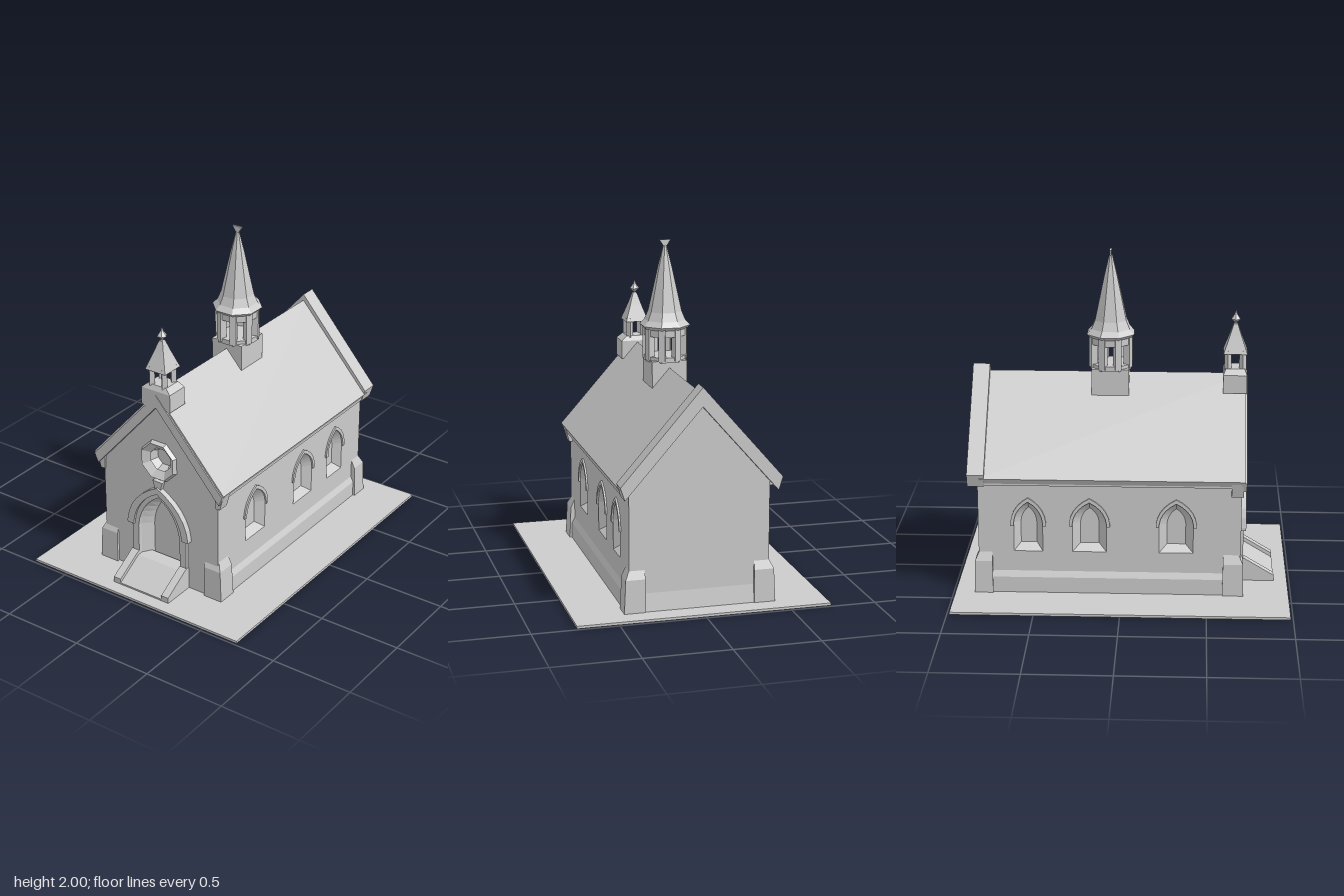
import * as THREE from 'three';

const mat = new THREE.MeshStandardMaterial({ color: 0xcccccc, flatShading: true, side: THREE.DoubleSide });
const V = (x, y) => new THREE.Vector2(x, y);

function add(parent, name, geo, x = 0, y = 0, z = 0) {
  const m = new THREE.Mesh(geo, mat);
  m.name = name;
  m.position.set(x, y, z);
  parent.add(m);
  return m;
}

// box given by its ranges
function block(parent, name, x0, x1, y0, y1, z0, z1) {
  return add(parent, name, new THREE.BoxGeometry(x1 - x0, y1 - y0, z1 - z0),
    (x0 + x1) / 2, (y0 + y1) / 2, (z0 + z1) / 2);
}

// box whose top is scaled and shifted
function taperBox(w, h, d, sx, sz, dx = 0, dz = 0) {
  const g = new THREE.BoxGeometry(w, h, d).translate(0, h / 2, 0);
  const p = g.attributes.position;
  for (let i = 0; i < p.count; i++) {
    if (p.getY(i) > h / 2) p.setXYZ(i, p.getX(i) * sx + dx, h, p.getZ(i) * sz + dz);
  }
  return g;
}

// outline of a pointed arch, from lower right round to lower left
function arch(cx, w, bottom, spring, apex, n = 5) {
  const pts = [V(cx + w, bottom)];
  const c = new THREE.QuadraticBezierCurve(V(w, spring), V(w * 0.9, spring + (apex - spring) * 0.65), V(0, apex));
  const half = c.getPoints(n);
  half.forEach(p => pts.push(V(cx + p.x, p.y)));
  half.slice(0, -1).reverse().forEach(p => pts.push(V(cx - p.x, p.y)));
  pts.push(V(cx - w, bottom));
  return pts;
}

const ring = (cx, cy, r, n = 8) => Array.from({ length: n }, (_, i) => {
  const a = (i + 0.5) / n * Math.PI * 2;
  return V(cx + r * Math.cos(a), cy + r * Math.sin(a));
});

function slab(pts, depth, holes = []) {
  const s = new THREE.Shape(pts);
  holes.forEach(h => s.holes.push(new THREE.Path(h)));
  return new THREE.ExtrudeGeometry(s, { depth, bevelEnabled: false });
}

// sloping reveal from outline a (depth za) to outline b (depth zb)
function splay(a, b, za, zb) {
  const out = [];
  a.forEach((p, i) => {
    const j = (i + 1) % a.length, q = a[j], r = b[i], s = b[j];
    out.push(p.x, p.y, za, q.x, q.y, za, s.x, s.y, zb, p.x, p.y, za, s.x, s.y, zb, r.x, r.y, zb);
  });
  const g = new THREE.BufferGeometry();
  g.setAttribute('position', new THREE.Float32BufferAttribute(out, 3));
  g.computeVertexNormals();
  return g;
}

// inverted V cross-section of a roof
const chevron = (w, eave, ridge, t) => [V(0, ridge), V(-w, eave), V(-w + 0.025, eave - t * 0.7),
  V(0, ridge - t), V(w - 0.025, eave - t * 0.7), V(w, eave)];
const gable = w => [V(-w, 0), V(w, 0), V(w, 0.74), V(0, 1.21), V(-w, 0.74)];

// one long wall with windows, on the +x side
function sideWall() {
  const g = new THREE.Group();
  g.name = 'sideWall';
  const face = new THREE.Group();
  face.name = 'windowWall';
  face.rotation.y = Math.PI / 2;
  face.position.x = 0.36;
  g.add(face);
  const wins = [[-0.32, 0.1], [0.19, 0.1], [0.55, 0.085]];
  const outer = wins.map(([c, w]) => arch(c, w, 0.27, 0.45, 0.58));
  add(face, 'wall', slab([V(-0.69, 0), V(0.84, 0), V(0.84, 0.75), V(-0.69, 0.75)], 0.05, outer));
  wins.forEach(([c, w], i) => {
    add(face, 'windowReveal', splay(outer[i], arch(c, w * 0.55, 0.31, 0.44, 0.53), 0.05, 0.003));
    const hood = arch(c, w + 0.02, 0.43, 0.45, 0.605).concat(arch(c, w, 0.43, 0.45, 0.58).reverse());
    add(face, 'windowHood', slab(hood, 0.012), 0, 0, 0.048);
  });
  // plinth with sloped top
  const plinth = slab([V(0, 0), V(0.07, 0), V(0.068, 0.11), V(0.05, 0.145), V(0, 0.145)], 1.53);
  add(g, 'plinth', plinth, 0.36, 0, -0.84);
  // corner buttresses in two stages
  [[0.655, 0.125, 1], [-0.815, 0.11, -1]].forEach(([z, d, s]) => {
    add(g, 'buttressFoot', taperBox(0.125, 0.21, d, 0.92, 0.94, -0.005), 0.382, 0, z);
    add(g, 'buttressCap', taperBox(0.115, 0.09, d * 0.94, 0.6, 0.6, -0.02, -s * 0.02), 0.377, 0.21, z);
  });
  // eaves trim and kneeler
  block(g, 'eavesTrim', 0.4, 0.445, 0.69, 0.73, -0.82, 0.7);
  add(g, 'kneeler', taperBox(0.03, 0.09, 0.07, 2, 1, 0.01), 0.415, 0.63, 0.675);
  return g;
}

function frontWall(root) {
  const g = new THREE.Group();
  g.name = 'frontWall';
  g.position.z = 0.62;
  root.add(g);
  const door = arch(0, 0.155, 0.1, 0.33, 0.57, 6);
  const rose = ring(0, 0.81, 0.1);
  add(g, 'wall', slab(gable(0.41), 0.08, [door, rose]));
  add(g, 'doorReveal', splay(door, arch(0, 0.105, 0.1, 0.32, 0.53, 6), 0.08, 0.004));
  add(g, 'roseReveal', splay(rose, ring(0, 0.81, 0.06), 0.08, 0.02));
  add(g, 'rosePane', new THREE.CircleGeometry(0.065, 8), 0, 0.81, 0.02);
  // rose window surround with bevelled outer edge
  add(g, 'roseSurround', splay(ring(0, 0.81, 0.135), ring(0, 0.81, 0.12), 0.075, 0.105));
  add(g, 'roseSurroundFace', splay(ring(0, 0.81, 0.12), ring(0, 0.81, 0.075), 0.105, 0.07));
  // door jambs, arch and hood
  const band = arch(0, 0.195, 0, 0.35, 0.61, 6).concat(arch(0, 0.15, 0, 0.33, 0.57, 6).reverse());
  add(g, 'doorSurround', slab(band, 0.035), 0, 0, 0.065);
  const hood = arch(0, 0.22, 0.34, 0.36, 0.64, 6).concat(arch(0, 0.175, 0.34, 0.35, 0.6, 6).reverse());
  add(g, 'doorHood', slab(hood, 0.05), 0, 0, 0.065);
  add(g, 'hoodTip', taperBox(0.035, 0.06, 0.03, 2, 1), 0, 0.62, 0.09);
}

// entrance ramp between sloping side walls
function entrance(root) {
  const profile = (h0, h1) => [V(-0.64, 0), V(-0.64, h0), V(-0.73, h0), V(-0.905, h1), V(-0.905, 0)];
  const ramp = add(root, 'entranceRamp', slab(profile(0.13, 0.025), 0.3), -0.15);
  ramp.rotation.y = Math.PI / 2;
  [-0.2, 0.15].forEach(x => {
    add(root, 'rampSideWall', slab(profile(0.155, 0.05), 0.05), x).rotation.y = Math.PI / 2;
  });
}

// open belfry: posts round a circle, with a many-sided roof
function posts(g, n, r, w, y0, y1) {
  for (let i = 0; i < n; i++) {
    const a = (i + 0.5) / n * Math.PI * 2;
    const p = block(g, 'belfryPost', -w / 2, w / 2, y0, y1, -w / 2, w / 2);
    p.position.x = r * Math.sin(a);
    p.position.z = r * Math.cos(a);
    p.rotation.y = a;
  }
}
function lathe(g, name, sides, pts) {
  add(g, name, new THREE.LatheGeometry(pts.map(p => V(...p)), sides, Math.PI / sides));
}

function spire(root) {
  const g = new THREE.Group();
  g.name = 'spire';
  g.position.z = -0.08;
  root.add(g);
  block(g, 'spireBase', -0.105, 0.105, 1.14, 1.3, -0.11, 0.11);
  lathe(g, 'belfryFloor', 8, [[0, 1.29], [0.13, 1.29], [0.13, 1.32], [0, 1.325]]);
  posts(g, 8, 0.11, 0.04, 1.3, 1.49);
  lathe(g, 'belfryLintel', 8, [[0.1, 1.44], [0.13, 1.44], [0.13, 1.5], [0.1, 1.5], [0.1, 1.44]]);
  lathe(g, 'spireRoof', 8, [[0, 1.49], [0.13, 1.48], [0.15, 1.5], [0.122, 1.53], [0.1, 1.58],
    [0.073, 1.7], [0.042, 1.84], [0.012, 1.96], [0, 1.985]]);
  add(g, 'finial', taperBox(0.015, 0.04, 0.012, 4.5, 1), 0, 1.96, 0);
}

function frontTurret(root) {
  const g = new THREE.Group();
  g.name = 'frontTurret';
  g.position.z = 0.655;
  root.add(g);
  block(g, 'turretBase', -0.1, 0.1, 1.16, 1.27, -0.07, 0.07);
  add(g, 'turretBaseTop', taperBox(0.2, 0.03, 0.14, 0.65, 0.8), 0, 1.27, 0);
  posts(g, 4, 0.062, 0.03, 1.29, 1.41);
  lathe(g, 'turretRoof', 4, [[0, 1.4], [0.1, 1.39], [0.085, 1.42], [0.05, 1.49], [0.018, 1.56], [0, 1.57]]);
  lathe(g, 'turretFinial', 6, [[0.008, 1.54], [0.008, 1.57], [0.03, 1.59], [0.012, 1.615], [0, 1.645]]);
}

export function createModel() {
  const root = new THREE.Group();
  root.name = 'chapel';
  block(root, 'ground', -0.74, 0.74, 0, 0.015, -0.985, 0.985);

  // solid inner body and back wall
  add(root, 'body', slab(gable(0.36), 1.43), 0, 0, -0.81);
  add(root, 'backWall', slab(gable(0.41), 0.05), 0, 0, -0.845);
  add(root, 'backPlinth', taperBox(0.82, 0.12, 0.05, 1, 0.6, 0, 0.01), 0, 0, -0.84);

  const left = sideWall();
  const right = sideWall();
  right.scale.x = -1;
  root.add(left, right);
  frontWall(root);
  entrance(root);

  // roof, front verge and raised back gable
  add(root, 'roof', slab(chevron(0.465, 0.735, 1.26, 0.06), 1.55), 0, 0, -0.83);
  add(root, 'frontVerge', slab(chevron(0.46, 0.725, 1.245, 0.08), 0.03), 0, 0, 0.698);
  add(root, 'backGable', slab(chevron(0.47, 0.76, 1.3, 0.11), 0.1), 0, 0, -0.9);

  spire(root);
  frontTurret(root);
  return root;
}
